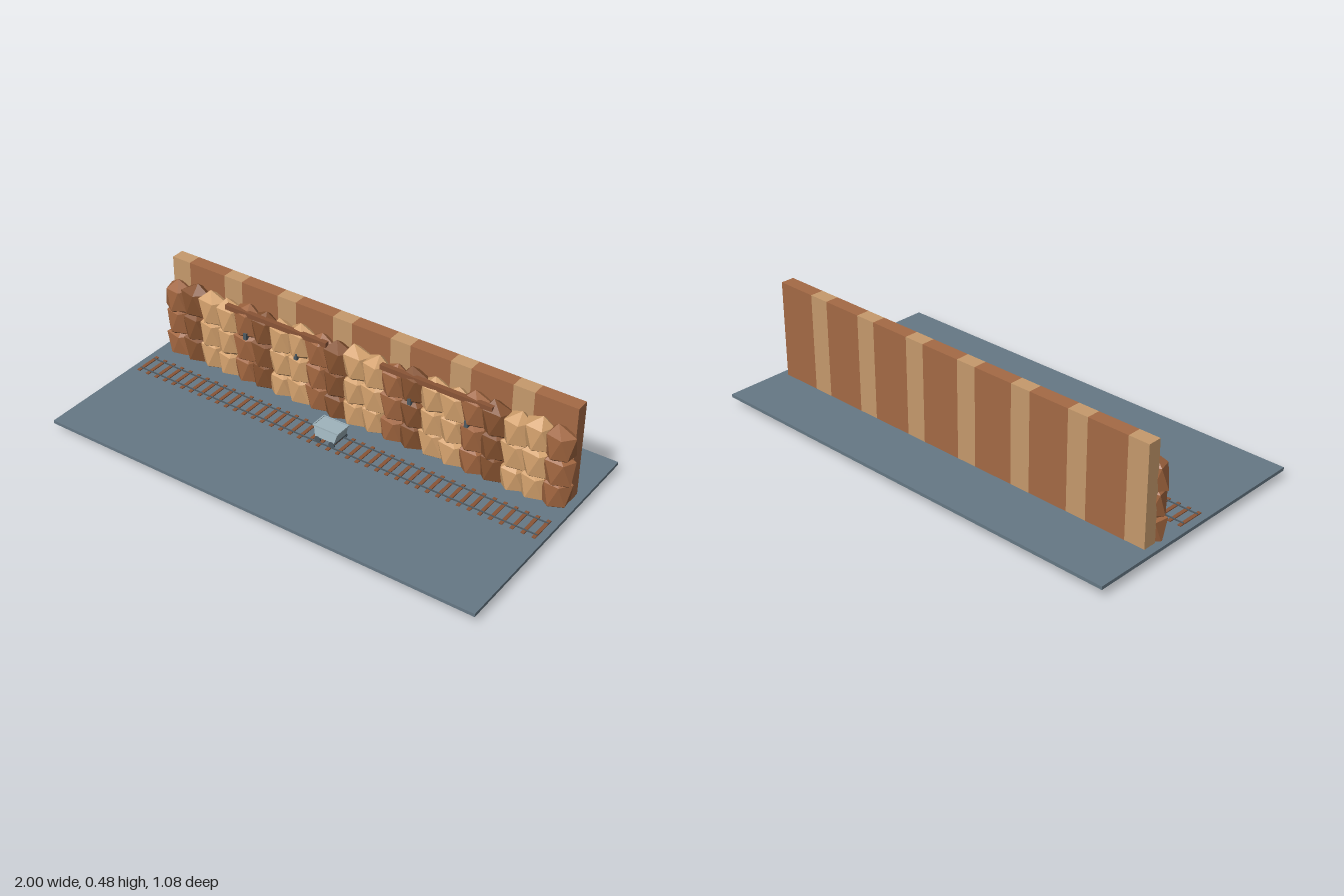
import * as THREE from 'three';

const mat = (name, color, flatShading = false) => {
  const m = new THREE.MeshStandardMaterial({ color, flatShading });
  m.name = name;
  return m;
};

export function createModel() {
  const model = new THREE.Group();
  model.name = 'mineRailway';
  const slate = mat('slate', 0x667885);
  const brown = mat('clayBrown', 0xa56a45);
  const tan = mat('sandTan', 0xc69a6c);
  const rockLight = mat('lightRock', 0xd2a06c, true);
  const rockBrown = mat('brownRock', 0xa0653f, true);
  const rockDark = mat('darkRock', 0x84512f, true);
  const wood = mat('wood', 0x8a5436);
  const iron = mat('iron', 0x4d5a62);
  const steel = mat('paleSteel', 0x9fb4bd);

  const add = (parent, name, geo, material, x, y, z) => {
    const m = new THREE.Mesh(geo, material);
    m.name = name;
    m.position.set(x, y, z);
    parent.add(m);
    return m;
  };
  const group = (name) => {
    const g = new THREE.Group();
    g.name = name;
    model.add(g);
    return g;
  };

  // Ground slab
  add(model, 'ground', new THREE.BoxGeometry(2, 0.014, 1.08), slate, 0, 0.044, 0);

  // Back wall of upright panels, every third one tan
  const wall = group('wall');
  const columns = 21, pitch = 1.93 / columns;
  const columnX = (i) => (i - (columns - 1) / 2) * pitch;
  const panel = new THREE.BoxGeometry(pitch, 0.455, 0.06);
  for (let i = 0; i < columns; i++)
    add(wall, 'wallPanel', panel, i % 3 === 0 ? tan : brown, columnX(i), 0.2525, -0.237);

  // Faceted boulders: vertex-up icosahedra with slightly shifted corners
  const makeRock = (seed) => {
    const g = new THREE.IcosahedronGeometry(1, 0);
    g.rotateZ(-Math.atan(2 / (1 + Math.sqrt(5))));
    g.rotateY(seed * 1.3);
    const p = g.attributes.position;
    for (let i = 0; i < p.count; i++) {
      const x = p.getX(i), y = p.getY(i), z = p.getZ(i);
      const cap = Math.abs(y) > 0.9;
      const s = 1 + 0.12 * Math.sin(5 * x + 7 * y + 3 * z + seed * 2.1);
      const lean = cap ? 0.25 * Math.sin(seed * 3.7 + y) : 0;
      p.setXYZ(i, x * s + lean, cap ? y : y * (0.85 + 0.35 * s), z);
    }
    g.scale(0.07, 0.088, 0.056);
    g.computeVertexNormals();
    return g;
  };
  const rocks = [0, 1, 2, 3, 4, 5, 6].map(makeRock);
  const rockColours = [rockBrown, rockDark, rockLight, rockLight];
  const cliff = group('rockFace');
  [0.088, 0.205, 0.325].forEach((y, row) => {
    for (let i = 0; i < columns; i++) {
      const drop = row === 1 ? 0 : (row - 1) * -0.007 * ((i + row) % 3);
      add(cliff, 'boulder', rocks[(i * 3 + row * 2) % 7], rockColours[i % 4],
        columnX(i), y + drop, -0.181);
    }
  });

  // Timber lintels with small brackets
  const timbers = group('timbers');
  for (const side of [-1, 1]) {
    add(timbers, 'lintel', new THREE.BoxGeometry(0.51, 0.022, 0.022), wood, side * 0.385, 0.378, -0.155);
    for (const dx of [-0.13, 0.13])
      add(timbers, 'bracket', new THREE.BoxGeometry(0.016, 0.03, 0.02), iron, side * 0.405 + dx, 0.275, -0.145);
  }

  // Track: ties and two rails
  const track = group('track');
  const tie = new THREE.BoxGeometry(0.015, 0.005, 0.124);
  const ties = 42;
  for (let i = 0; i < ties; i++)
    add(track, 'tie', tie, wood, -0.96 + (1.92 * i) / (ties - 1), 0.0525, 0);
  for (const side of [-1, 1])
    add(track, 'rail', new THREE.BoxGeometry(1.93, 0.004, 0.005), iron, 0, 0.056, side * 0.042);

  // Cart: tapered tub, rim, chassis and wheels
  const cart = group('cart');
  const tub = new THREE.BoxGeometry(1, 0.046, 1);
  const tp = tub.attributes.position;
  for (let i = 0; i < tp.count; i++) {
    const top = tp.getY(i) > 0;
    tp.setX(i, Math.sign(tp.getX(i)) * (top ? 0.058 : 0.046));
    tp.setZ(i, Math.sign(tp.getZ(i)) * (top ? 0.036 : 0.044));
  }
  tub.computeVertexNormals();
  add(cart, 'tub', tub, steel, 0, 0.105, 0);
  for (const side of [-1, 1]) {
    add(cart, 'rimLong', new THREE.BoxGeometry(0.124, 0.006, 0.005), steel, 0, 0.128, side * 0.037);
    add(cart, 'rimShort', new THREE.BoxGeometry(0.005, 0.006, 0.074), steel, side * 0.0595, 0.128, 0);
  }
  add(cart, 'chassis', new THREE.BoxGeometry(0.1, 0.006, 0.08), iron, 0, 0.081, 0);
  const wheel = new THREE.CylinderGeometry(0.014, 0.014, 0.008, 12).rotateX(Math.PI / 2);
  for (const x of [-0.034, 0.034])
    for (const z of [-0.043, 0.043]) add(cart, 'wheel', wheel, iron, x, 0.071, z);

  return model;
}
